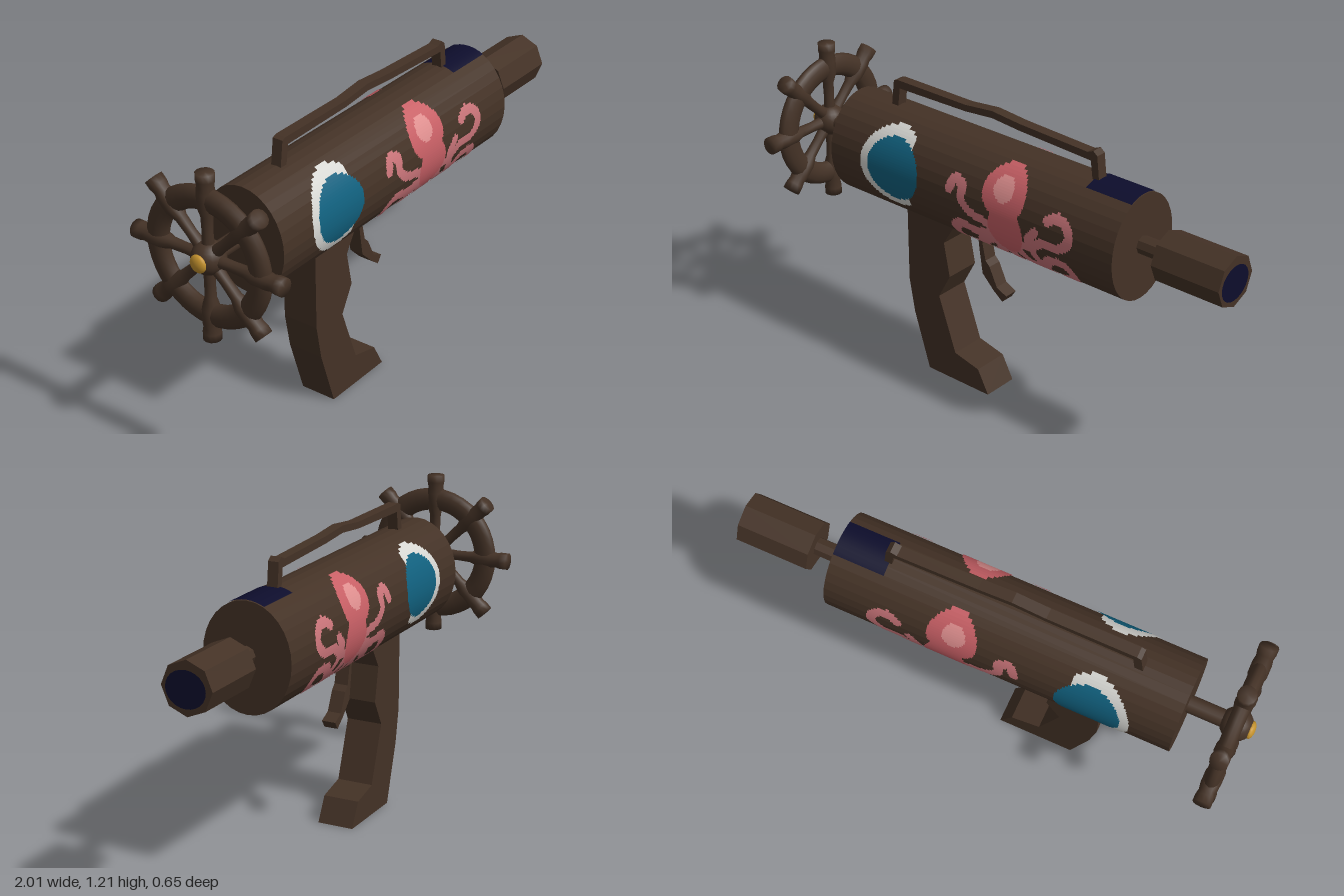
import * as THREE from 'three';

const mat = (name, color) => {
  const m = new THREE.MeshStandardMaterial({ color });
  m.name = name;
  return m;
};

// Body ellipse: centre height and radii
const CY = 0.8625, RY = 0.206, RZ = 0.175;

function flat(geo) {
  const g = geo.index ? geo.toNonIndexed() : geo;
  g.computeVertexNormals();
  return g;
}

// Cylinder lying along x between x0 and x1
function barX(r, x0, x1, sides, y = 0, spin = 0) {
  return new THREE.CylinderGeometry(r, r, x1 - x0, sides)
    .rotateY(spin).rotateZ(Math.PI / 2).translate((x0 + x1) / 2, y, 0);
}

// Side outline extruded symmetrically about z = 0
function slab(points, depth) {
  const shape = new THREE.Shape(points.map(p => new THREE.Vector2(...p)));
  return new THREE.ExtrudeGeometry(shape, { depth, bevelEnabled: false }).translate(0, 0, -depth / 2);
}

// Painted octopus arms: centre line and width
const arms = [
  [[[-0.15, 0.91], [-0.13, 0.95], [-0.09, 0.94], [-0.09, 0.89], [-0.05, 0.85], [0.03, 0.83], [0.1, 0.8]], 0.019],
  [[[0.31, 0.93], [0.35, 0.95], [0.4, 0.93], [0.41, 0.88], [0.36, 0.84], [0.3, 0.84], [0.23, 0.8], [0.14, 0.78]], 0.019],
  [[[-0.14, 0.68], [-0.14, 0.74], [-0.1, 0.78], [-0.03, 0.77], [0.05, 0.79]], 0.022],
  [[[-0.1, 0.68], [-0.04, 0.69], [0, 0.74], [0.06, 0.77]], 0.024],
  [[[0.03, 0.68], [0.06, 0.7], [0.1, 0.77]], 0.024],
  [[[0.16, 0.68], [0.13, 0.72], [0.13, 0.79]], 0.024],
  [[[0.36, 0.69], [0.41, 0.72], [0.39, 0.77], [0.32, 0.77], [0.26, 0.71], [0.2, 0.72], [0.16, 0.79]], 0.021],
  [[[0.32, 0.68], [0.28, 0.7], [0.25, 0.76], [0.23, 0.83], [0.26, 0.87]], 0.018],
].map(([pts, r]) => ({
  r, pts: new THREE.CatmullRomCurve3(pts.map(p => new THREE.Vector3(p[0], p[1], 0))).getPoints(50),
}));

const inEllipse = (x, y, cx, cy, rx, ry) => ((x - cx) / rx) ** 2 + ((y - cy) / ry) ** 2 < 1;

// Which paint covers a point of the body's side
function paintAt(x, y) {
  if (inEllipse(x, y, -0.433, 0.888, 0.128, 0.12)) return 'teal';
  if (x < -0.355 && inEllipse(x, y, -0.44, 0.89, 0.156, 0.153)) return 'white';
  if (x < -0.2) return null;
  if (inEllipse(x, y, 0.095, 0.975, 0.045, 0.045)) return 'lightPink';
  if (inEllipse(x, y, 0.1, 0.96, 0.098, 0.095) || inEllipse(x, y, 0.12, 0.83, 0.08, 0.1)) return 'coral';
  for (const a of arms)
    if (a.pts.some(p => Math.hypot(p.x - x, p.y - y) < a.r)) return 'pink';
  return null;
}

// Thin painted rows that follow the curve of the body, on both sides
function paintedRows() {
  const step = 0.009, out = {};
  const depth = y => RZ * Math.sqrt(Math.max(0, 1 - ((y - CY) / RY) ** 2)) + 0.004;
  const quad = (color, x0, x1, y0, y1) => {
    const v = out[color] ??= [];
    for (const s of [1, -1]) {
      const a = [x0, y0, s * depth(y0)], b = [x1, y0, s * depth(y0)];
      const c = [x1, y1, s * depth(y1)], d = [x0, y1, s * depth(y1)];
      v.push(...(s > 0 ? [a, b, c, a, c, d] : [a, c, b, a, d, c]).flat());
    }
  };
  for (let y = 0.667; y < 1.055; y += step) {
    let start = -0.62, current = null;
    for (let x = -0.62; x < 0.46; x += step / 2) {
      const color = paintAt(x, y + step / 2);
      if (color === current) continue;
      if (current) quad(current, start, x, y, y + step);
      start = x;
      current = color;
    }
  }
  return out;
}

export function createModel() {
  const root = new THREE.Group();
  root.name = 'toyLauncher';
  const M = {
    brown: mat('darkWoodBrown', 0x443226),
    navy: mat('navy', 0x0d0d2c),
    teal: mat('teal', 0x11617f),
    white: mat('offWhite', 0xd6d6d2),
    coral: mat('coral', 0xc75f65),
    pink: mat('pink', 0xcb757a),
    lightPink: mat('lightPink', 0xde8e8e),
    gold: mat('gold', 0xc4922e),
  };
  const add = (name, geo, material = M.brown, parent = root) => {
    const mesh = new THREE.Mesh(geo, material);
    mesh.name = name;
    parent.add(mesh);
    return mesh;
  };

  // Oval main body
  add('body', flat(barX(1, -0.752, 0.605, 32).scale(1, RY, RZ).translate(0, CY, 0)));

  // Paint on both sides
  const names = { teal: 'roundWindow', white: 'windowRim', coral: 'octopusBody', pink: 'octopusArms', lightPink: 'octopusHighlight' };
  for (const [color, verts] of Object.entries(paintedRows())) {
    const g = new THREE.BufferGeometry();
    g.setAttribute('position', new THREE.Float32BufferAttribute(verts, 3));
    g.computeVertexNormals();
    add(names[color], g, M[color]);
  }

  // Navy patches at the front end, above and below
  for (const [name, mid] of [['topPatch', Math.PI / 2], ['bottomPatch', -Math.PI / 2]]) {
    const g = new THREE.CylinderGeometry(1, 1, 0.2, 8, 1, true, mid - 0.4, 0.8)
      .rotateZ(Math.PI / 2).scale(1, RY + 0.003, RZ + 0.003).translate(0.504, CY, 0);
    add(name, g, M.navy);
  }

  // Barrel neck, octagonal muzzle and bore
  add('neck', flat(barX(0.035, 0.6, 0.72, 8, 0.873)));
  add('muzzle', flat(barX(0.099, 0.715, 0.998, 8, 0.87)));
  add('bore', new THREE.CircleGeometry(1, 24).rotateY(Math.PI / 2).scale(1, 0.068, 0.078).translate(1, 0.866, 0.004), M.navy);

  // Grip and trigger
  add('grip', slab([[-0.455, 0.7], [-0.455, 0.37], [-0.43, 0.23], [-0.358, 0], [-0.053, 0], [-0.103, 0.095],
    [-0.22, 0.123], [-0.3, 0.35], [-0.243, 0.455], [-0.27, 0.594], [-0.205, 0.7]], 0.146));
  add('trigger', slab([[-0.14, 0.69], [-0.13, 0.6], [-0.115, 0.5], [-0.06, 0.445], [-0.018, 0.412], [0.002, 0.442],
    [-0.045, 0.465], [-0.08, 0.54], [-0.1, 0.56], [-0.115, 0.63], [-0.105, 0.69]], 0.056));

  // Carrying handle
  add('carryHandle', slab([[-0.572, 1.05], [-0.557, 1.165], [-0.54, 1.172], [-0.2, 1.172], [-0.07, 1.186], [0.06, 1.175],
    [0.37, 1.164], [0.395, 1.175], [0.413, 1.16], [0.425, 1.05], [0.395, 1.06], [0.385, 1.135], [0.06, 1.148],
    [-0.07, 1.158], [-0.2, 1.146], [-0.528, 1.14], [-0.54, 1.05]], 0.042));

  // Ship's wheel at the rear
  const wheel = new THREE.Group();
  wheel.name = 'wheel';
  wheel.position.set(-0.934, 0.883, 0);
  root.add(wheel);
  add('wheelRing', new THREE.TorusGeometry(0.223, 0.045, 12, 40).rotateY(Math.PI / 2).scale(0.65, 1, 1), M.brown, wheel);
  add('hub', new THREE.SphereGeometry(0.062, 20, 14), M.brown, wheel);
  add('hubCap', new THREE.SphereGeometry(0.034, 16, 10).scale(0.5, 1, 1).translate(-0.054, 0, 0), M.gold, wheel);
  add('axle', barX(0.033, 0.02, 0.19, 16), M.brown, wheel);
  const spokeProfile = [[0.024, 0.03], [0.02, 0.1], [0.022, 0.16], [0.034, 0.2], [0.034, 0.25], [0.03, 0.275], [0.034, 0.295], [0.034, 0.323], [0, 0.323]]
    .map(p => new THREE.Vector2(...p));
  for (let i = 0; i < 8; i++) {
    add('spoke', new THREE.LatheGeometry(spokeProfile, 12).rotateX(i * Math.PI / 4), M.brown, wheel);
  }
  return root;
}
